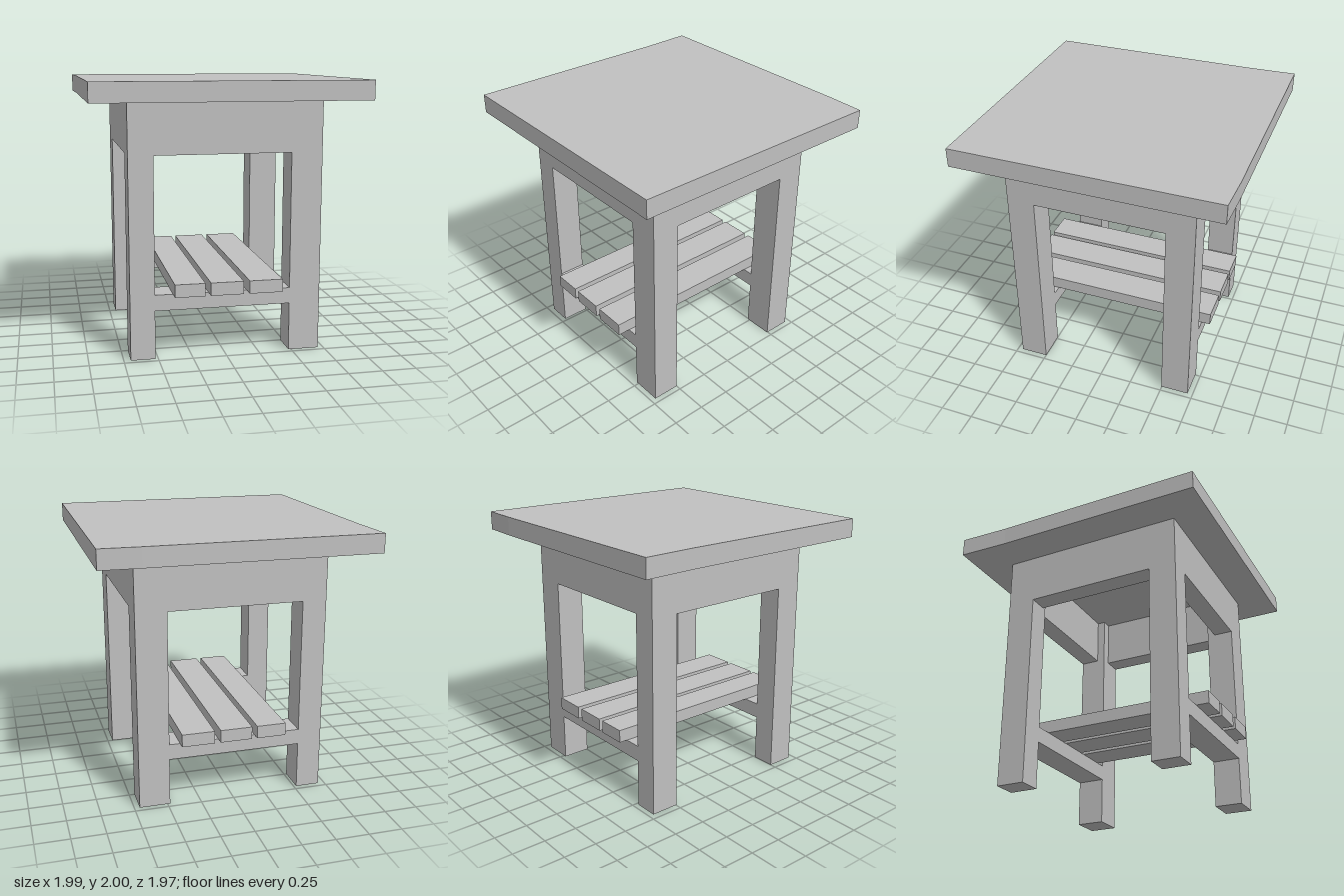
import * as THREE from 'three';

export function createModel() {
  const table = new THREE.Group();
  table.name = 'sideTable';
  const grey = new THREE.MeshStandardMaterial({ color: 0xc0c0c0 });
  grey.name = 'paleGrey';

  const add = (name, geometry) => {
    const mesh = new THREE.Mesh(geometry, grey);
    mesh.name = name;
    table.add(mesh);
    return mesh;
  };
  // Box given by its limits on each axis
  const block = (name, [x0, x1], [y0, y1], [z0, z1]) =>
    add(name, new THREE.BoxGeometry(x1 - x0, y1 - y0, z1 - z0))
      .position.set((x0 + x1) / 2, (y0 + y1) / 2, (z0 + z1) / 2);

  // Slightly uneven square top (shape y becomes -z)
  const outline = [[-0.975, -0.975], [0.985, -0.98], [0.99, 0.975], [0.7, 0.985], [-0.995, 0.985], [-0.98, 0.6]];
  const top = new THREE.Shape(outline.map(([x, y]) => new THREE.Vector2(x, y)));
  const slab = new THREE.ExtrudeGeometry(top, { depth: 0.14, bevelEnabled: false });
  slab.rotateX(-Math.PI / 2);
  add('tableTop', slab).position.y = 1.86;

  // Legs, with the left pair a little wider
  const legX = { right: [-0.7, -0.52], left: [0.48, 0.71] };
  const legZ = { Front: [0.5, 0.71], Back: [-0.71, -0.495] };
  for (const [side, x] of Object.entries(legX))
    for (const [end, z] of Object.entries(legZ)) block(`${side}${end}Leg`, x, [0, 1.86], z);

  // Aprons under the top, flush with the outside of the legs
  const apronY = [1.48, 1.86];
  block('frontApron', [-0.52, 0.48], apronY, [0.56, 0.71]);
  block('backApron', [-0.52, 0.48], apronY, [-0.71, -0.56]);
  block('rightApron', [-0.7, -0.55], apronY, [-0.495, 0.5]);
  block('leftApron', [0.56, 0.71], apronY, [-0.495, 0.5]);

  // Low rails carrying the shelf
  for (const [end, z] of Object.entries(legZ)) block(`shelfRail${end}`, [-0.52, 0.48], [0.36, 0.478], z);

  // Three shelf planks running front to back
  [[-0.39, -0.17], [-0.13, 0.11], [0.155, 0.4]].forEach((x, i) =>
    block(`shelfPlank${i + 1}`, x, [0.478, 0.573], [-0.775, 0.805]));

  return table;
}
